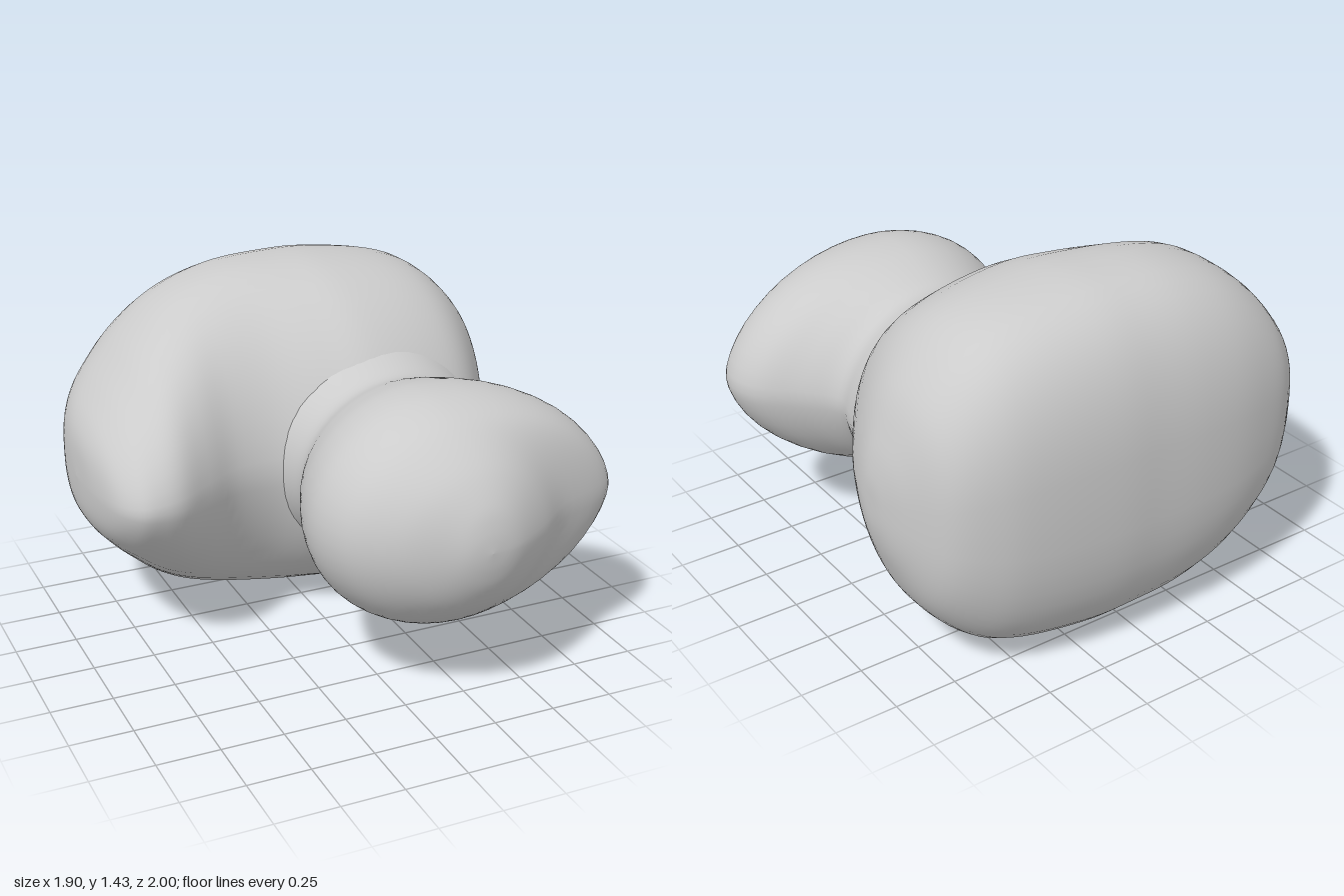
import * as THREE from 'three';

const material = new THREE.MeshStandardMaterial({ color: 0xcccccc, roughness: 0.7 });
const SIDES = 48, STEPS = 5, MID = 0.715;

// smooth curve through a table of section rows
function smoothRows(rows) {
  const out = [];
  const at = (i) => rows[Math.min(Math.max(i, 0), rows.length - 1)];
  for (let i = 0; i < rows.length - 1; i++) {
    const [a, b, c, d] = [at(i - 1), at(i), at(i + 1), at(i + 2)];
    for (let s = 0; s < STEPS; s++) {
      const t = s / STEPS;
      out.push(b.map((p, k) => {
        const m0 = (c[k] - a[k]) / 2, m1 = (d[k] - p) / 2;
        return p + m0 * t + (3 * (c[k] - p) - 2 * m0 - m1) * t * t + (2 * (p - c[k]) + m0 + m1) * t * t * t;
      }));
    }
  }
  out.push(rows[rows.length - 1]);
  return out;
}

// skin closed cross-sections; pointAt(row, angle) gives a point of the ring
function loft(name, table, pointAt) {
  const rows = smoothRows(table), pos = [], index = [];
  rows.forEach((row, i) => {
    for (let j = 0; j < SIDES; j++) {
      pos.push(...pointAt(row, (j / SIDES) * Math.PI * 2));
      if (i === rows.length - 1) continue;
      const k = (j + 1) % SIDES, a = i * SIDES + j, b = i * SIDES + k;
      index.push(a, b, a + SIDES, b, b + SIDES, a + SIDES);
    }
  });
  const geo = new THREE.BufferGeometry();
  geo.setAttribute('position', new THREE.Float32BufferAttribute(pos, 3));
  geo.setIndex(index);
  geo.computeVertexNormals();
  const mesh = new THREE.Mesh(geo, material);
  mesh.name = name;
  return mesh;
}

const power = (v, p) => Math.sign(v) * Math.pow(Math.abs(v), p);

// egg section: "low" side with exponent q (under 1 is fuller), "high" side tapering
function egg(low, high, peak, h, angle, q) {
  const c = Math.cos(angle), s = Math.sin(angle);
  return c >= 0
    ? [peak + (high - peak) * c, h * power(s, 1 + 0.2 * c)]
    : [peak + (peak - low) * power(c, q), h * power(s, q)];
}

export function createModel() {
  const group = new THREE.Group();
  group.name = 'bird';

  // body with upswept tail: x, back z, front z, widest z, half width
  const body = [
    [0.93, -0.5, -0.5, -0.5, 0],
    [0.925, -0.58, -0.43, -0.5, 0.11],
    [0.89, -0.7, -0.33, -0.52, 0.25],
    [0.81, -0.85, -0.17, -0.54, 0.43],
    [0.66, -0.935, 0.05, -0.55, 0.585],
    [0.48, -0.975, 0.14, -0.55, 0.665],
    [0.2, -1, 0.19, -0.55, 0.708],
    [0, -1, 0.13, -0.55, 0.71],
    [-0.2, -1, 0.04, -0.54, 0.695],
    [-0.38, -0.985, 0.042, -0.52, 0.65],
    [-0.53, -0.95, 0.12, -0.5, 0.58],
    [-0.66, -0.9, 0.2, -0.47, 0.485],
    [-0.76, -0.825, 0.217, -0.44, 0.39],
    [-0.84, -0.74, 0.195, -0.4, 0.305],
    [-0.905, -0.6, 0.1, -0.34, 0.22],
    [-0.94, -0.44, -0.08, -0.28, 0.13],
    [-0.95, -0.27, -0.27, -0.27, 0],
  ];
  group.add(loft('bodyAndTail', body, ([x, back, front, peak, h], a) => {
    const [z, y] = egg(back, front, peak, h, a, 0.78);
    return [x, MID + y, z];
  }));

  // neck, head and beak: z, left x, right x, widest x, half width
  const head = [
    [-0.35, 0.2, 0.2, 0.2, 0],
    [-0.22, -0.25, 0.75, 0.24, 0.5],
    [-0.08, -0.24, 0.74, 0.24, 0.46],
    [0.05, -0.195, 0.7, 0.24, 0.41],
    [0.17, -0.18, 0.68, 0.23, 0.385],
    [0.29, -0.235, 0.78, 0.22, 0.42],
    [0.42, -0.285, 0.91, 0.21, 0.452],
    [0.56, -0.31, 0.947, 0.21, 0.455],
    [0.69, -0.285, 0.88, 0.21, 0.422],
    [0.79, -0.225, 0.64, 0.21, 0.365],
    [0.89, -0.1, 0.5, 0.21, 0.275],
    [0.96, 0.05, 0.38, 0.21, 0.17],
    [0.99, 0.13, 0.3, 0.21, 0.08],
    [1, 0.21, 0.21, 0.21, 0],
  ];
  group.add(loft('headAndBeak', head, ([z, left, right, peak, h], a) => {
    const [x, y] = egg(left, right, peak, h, a, 1);
    return [x, MID + y, z];
  }));
  return group;
}
